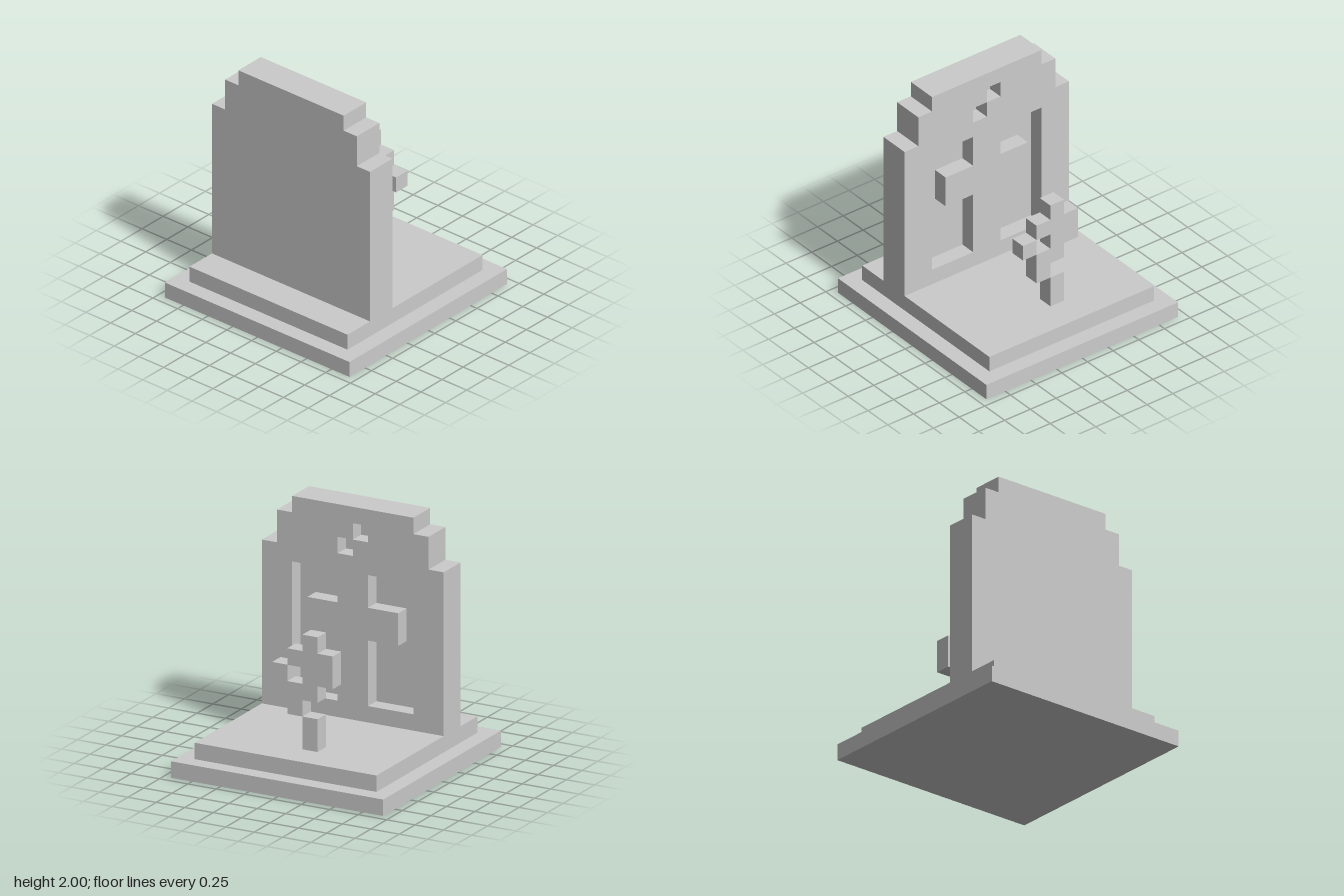
import * as THREE from 'three';

const U = 2 / 15; // one block; all coordinates below are in blocks
const material = new THREE.MeshStandardMaterial({ color: 0xcccccc, flatShading: true });

function addMesh(parent, name, geometry) {
  geometry.scale(U, U, U);
  const mesh = new THREE.Mesh(geometry, material);
  mesh.name = name;
  parent.add(mesh);
}

// Box given by its lower and upper corners
function addBox(parent, name, [x0, y0, z0], [x1, y1, z1]) {
  const g = new THREE.BoxGeometry(x1 - x0, y1 - y0, z1 - z0);
  g.translate((x0 + x1) / 2, (y0 + y1) / 2, (z0 + z1) / 2);
  addMesh(parent, name, g);
}

// Flat outline, one block thick, starting at z
function addPlate(parent, name, outline, holes, z) {
  const toPoints = (list) => list.map(([x, y]) => new THREE.Vector2(x, y));
  const shape = new THREE.Shape(toPoints(outline));
  holes.forEach((h) => shape.holes.push(new THREE.Path(toPoints(h))));
  const g = new THREE.ExtrudeGeometry(shape, { depth: 1, bevelEnabled: false });
  g.translate(0, 0, z);
  addMesh(parent, name, g);
}

const mirror = (points) => points.map(([x, y]) => [-x, y]).reverse();

export function createModel() {
  const model = new THREE.Group();
  model.name = 'gravestone';

  // Stepped plinth
  addBox(model, 'baseSlab', [-7, 0, -7], [7, 1, 7]);
  addBox(model, 'upperStep', [-6, 1, -6], [6, 2, 6]);

  // Headstone: plain front half with a stepped top
  const headstone = new THREE.Group();
  headstone.name = 'headstone';
  model.add(headstone);
  const half = [[6, 2], [6, 12], [5, 12], [5, 14], [4, 14], [4, 15]];
  addPlate(headstone, 'frontHalf', [...half, ...mirror(half)], [], 3);

  // Back half: sunken panels that leave a raised cross
  const panel = [[1, 3], [4, 3], [4, 11], [1, 11], [1, 9], [3, 9], [3, 7], [1, 7]];
  addPlate(headstone, 'crossRelief', [[-6, 2], [6, 2], [6, 12], [-6, 12]], [panel, mirror(panel)], 2);

  // Top rows of the back half, with two diagonal notches
  const rows = [[-5, 0, 12, 13], [1, 5, 12, 13], [-5, -1, 13, 14], [0, 5, 13, 14], [-4, 4, 14, 15]];
  rows.forEach(([x0, x1, y0, y1]) => addBox(headstone, 'backTop', [x0, y0, 2], [x1, y1, 3]));

  // Flower in the ground: stem, leaf and petals as columns of blocks
  const flower = new THREE.Group();
  flower.name = 'flower';
  model.add(flower);
  const columns = [
    ['stem', -1, 2, 4],
    ['leaf', 0, 4, 6],
    ['flowerCentre', -1, 5, 9],
    ['upperPetal', 0, 7, 8],
    ['leftPetal', 1, 6, 7],
    ['rightPetal', -2, 6, 8],
  ];
  columns.forEach(([name, x, y0, y1]) => addBox(flower, name, [x, y0, -4], [x + 1, y1, -3]));

  return model;
}
